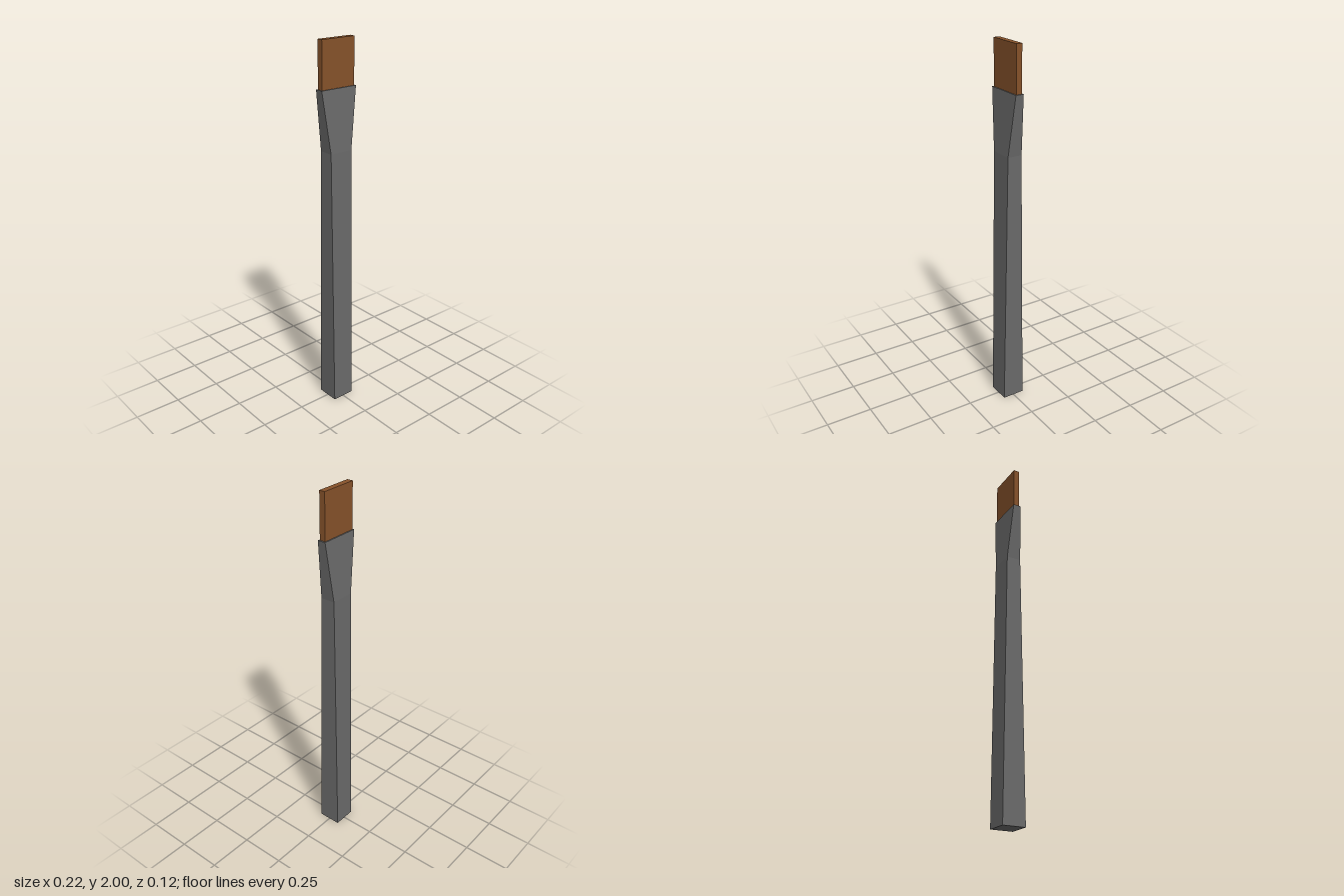
import * as THREE from 'three';

// Box whose horizontal rings follow [y, halfWidth, halfDepth] sections, bottom to top
function taperedBar(sections) {
  const n = sections.length - 1;
  const geometry = new THREE.BoxGeometry(2, n, 2, 1, n, 1);
  const p = geometry.attributes.position;
  for (let i = 0; i < p.count; i++) {
    const [y, w, d] = sections[Math.round(p.getY(i) + n / 2)];
    p.setXYZ(i, Math.sign(p.getX(i)) * w, y, Math.sign(p.getZ(i)) * d);
  }
  const flat = geometry.toNonIndexed();
  flat.computeVertexNormals();
  return flat;
}

export function createModel() {
  const group = new THREE.Group();
  group.name = 'flatBrush';

  const add = (name, geometry, color) => {
    const mesh = new THREE.Mesh(geometry, new THREE.MeshStandardMaterial({ color, flatShading: true }));
    mesh.name = name;
    group.add(mesh);
  };

  // Square dark handle that flattens and flares into the ferrule
  add('handle', taperedBar([
    [0, 0.062, 0.062],
    [1.44, 0.066, 0.04],
    [1.76, 0.108, 0.022],
  ]), 0x6a6a6a);

  // Flat bristle block, seated slightly inside the flared end
  add('bristles', taperedBar([
    [1.74, 0.101, 0.016],
    [2, 0.101, 0.016],
  ]), 0x86522a);

  return group;
}
